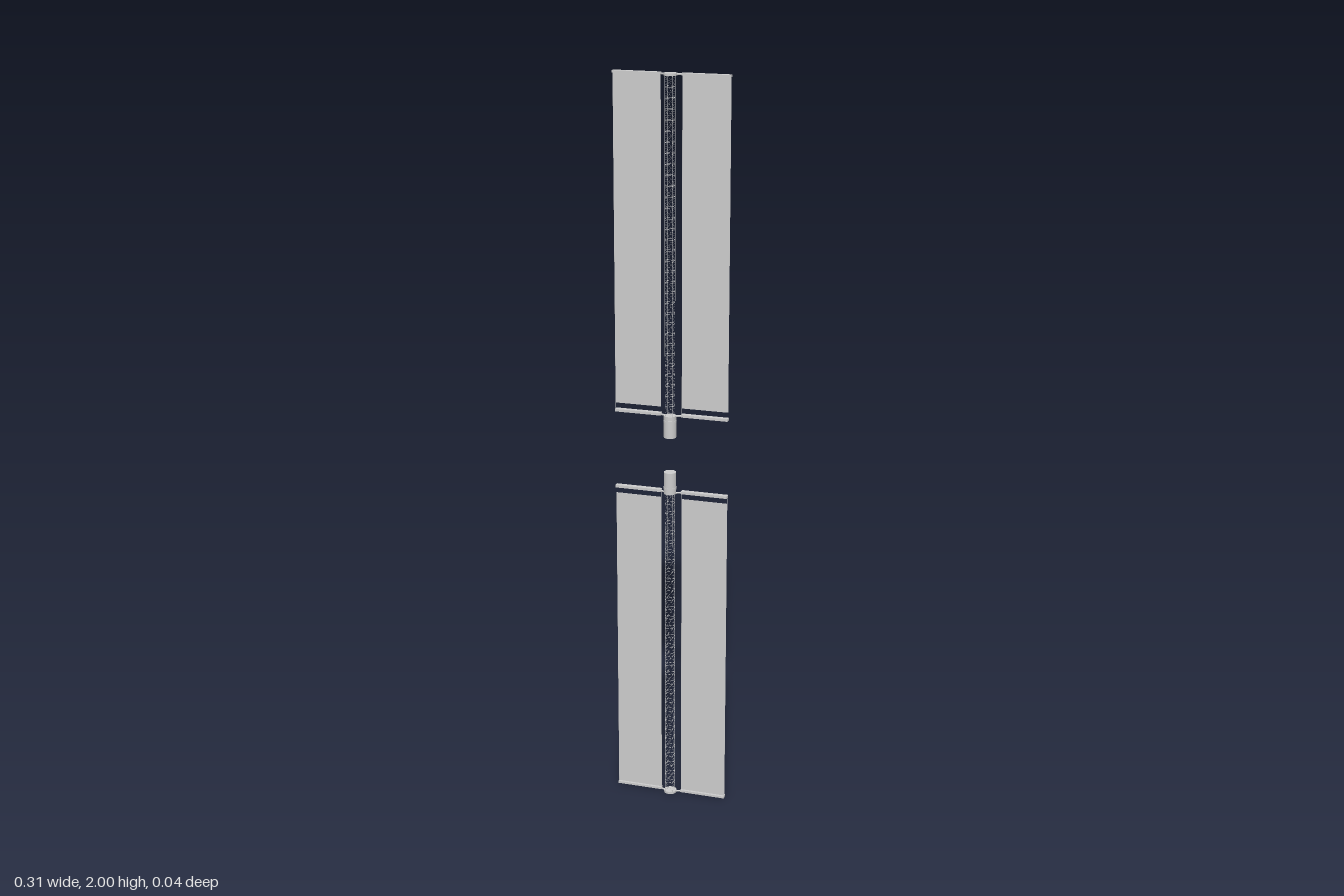
import * as THREE from 'three';
import { mergeGeometries } from 'three/addons/utils/BufferGeometryUtils.js';

const grey = new THREE.MeshStandardMaterial({ color: 0xcccccc });
const PANEL_Z = -0.013;   // plane of the blankets
const LENGTH = 0.95;      // one wing, from canister base to tip

function add(parent, name, geometry, x = 0, y = 0, z = 0) {
  const mesh = new THREE.Mesh(geometry, grey);
  mesh.name = name;
  mesh.position.set(x, y, z);
  parent.add(mesh);
  return mesh;
}

// Thin rod between two points
function rod(a, b, radius, sides = 5) {
  const dir = new THREE.Vector3().subVectors(b, a);
  const g = new THREE.CylinderGeometry(radius, radius, dir.length(), sides);
  const q = new THREE.Quaternion().setFromUnitVectors(new THREE.Vector3(0, 1, 0), dir.clone().normalize());
  g.applyQuaternion(q);
  const mid = a.clone().add(b).multiplyScalar(0.5);
  return g.translate(mid.x, mid.y, mid.z);
}

// Square lattice mast: four longerons, battens and diagonals
function mastGeometry(y0, y1, half, bays) {
  const corners = [[1, 1], [-1, 1], [-1, -1], [1, -1]];
  const point = (i, y) => new THREE.Vector3(corners[i % 4][0] * half, y, corners[i % 4][1] * half);
  const parts = [];
  const step = (y1 - y0) / bays;
  for (let i = 0; i < 4; i++) {
    parts.push(rod(point(i, y0), point(i, y1), 0.0005));
    for (let b = 0; b <= bays; b++) {
      const y = y0 + b * step;
      parts.push(rod(point(i, y), point(i + 1, y), 0.0005, 4));
      if (b < bays) {
        parts.push(rod(point(i, y), point(i + 1, y + step), 0.0002, 3));
        parts.push(rod(point(i + 1, y), point(i, y + step), 0.0002, 3));
      }
    }
  }
  return mergeGeometries(parts);
}

// One wing pointing up from its canister base at y = 0
function createWing(name) {
  const wing = new THREE.Group();
  wing.name = name;

  // Mast canister with a collar, and the cap at the tip
  add(wing, 'mastCanister', new THREE.CylinderGeometry(0.0165, 0.0165, 0.06, 24), 0, 0.03, 0);
  add(wing, 'canisterCollar', new THREE.CylinderGeometry(0.0175, 0.0175, 0.006, 24), 0, 0.045, 0);
  add(wing, 'mast', mastGeometry(0.06, LENGTH - 0.006, 0.0105, 32));
  add(wing, 'mastTipCap', new THREE.CylinderGeometry(0.0175, 0.0175, 0.006, 24), 0, LENGTH - 0.003, -0.003);

  for (const s of [-1, 1]) {
    // Blanket stretched between the storage box and the tip bar
    add(wing, 'blanket', new THREE.BoxGeometry(0.126, 0.866, 0.0008), s * 0.0915, 0.511, PANEL_Z);
    add(wing, 'storageBox', new THREE.BoxGeometry(0.127, 0.007, 0.014), s * 0.0915, 0.0585, PANEL_Z);
    add(wing, 'tipBar', new THREE.BoxGeometry(0.127, 0.006, 0.014), s * 0.0915, LENGTH - 0.003, PANEL_Z);

    // Tension wires across the gap and along the blanket's edges
    for (const x of [0.0285, 0.1545]) {
      add(wing, 'guideWire', rod(
        new THREE.Vector3(s * x, 0.06, PANEL_Z),
        new THREE.Vector3(s * x, LENGTH - 0.004, PANEL_Z), 0.0004));
    }

    // Arms joining the bars to the canister and the tip cap
    for (const y of [0.0585, LENGTH - 0.003]) {
      add(wing, 'bracketArm', rod(
        new THREE.Vector3(s * 0.012, y, -0.002),
        new THREE.Vector3(s * 0.032, y, -0.01), 0.0025, 8));
    }
  }
  return wing;
}

export function createModel() {
  const model = new THREE.Group();
  model.name = 'solarArrayPair';

  const upper = createWing('upperWing');
  upper.position.y = 1.05;
  model.add(upper);

  // The lower wing is turned half round in the panel plane
  const lower = createWing('lowerWing');
  lower.rotation.z = Math.PI;
  lower.position.y = 0.953;
  lower.scale.y = 0.953 / LENGTH;
  model.add(lower);

  return model;
}
